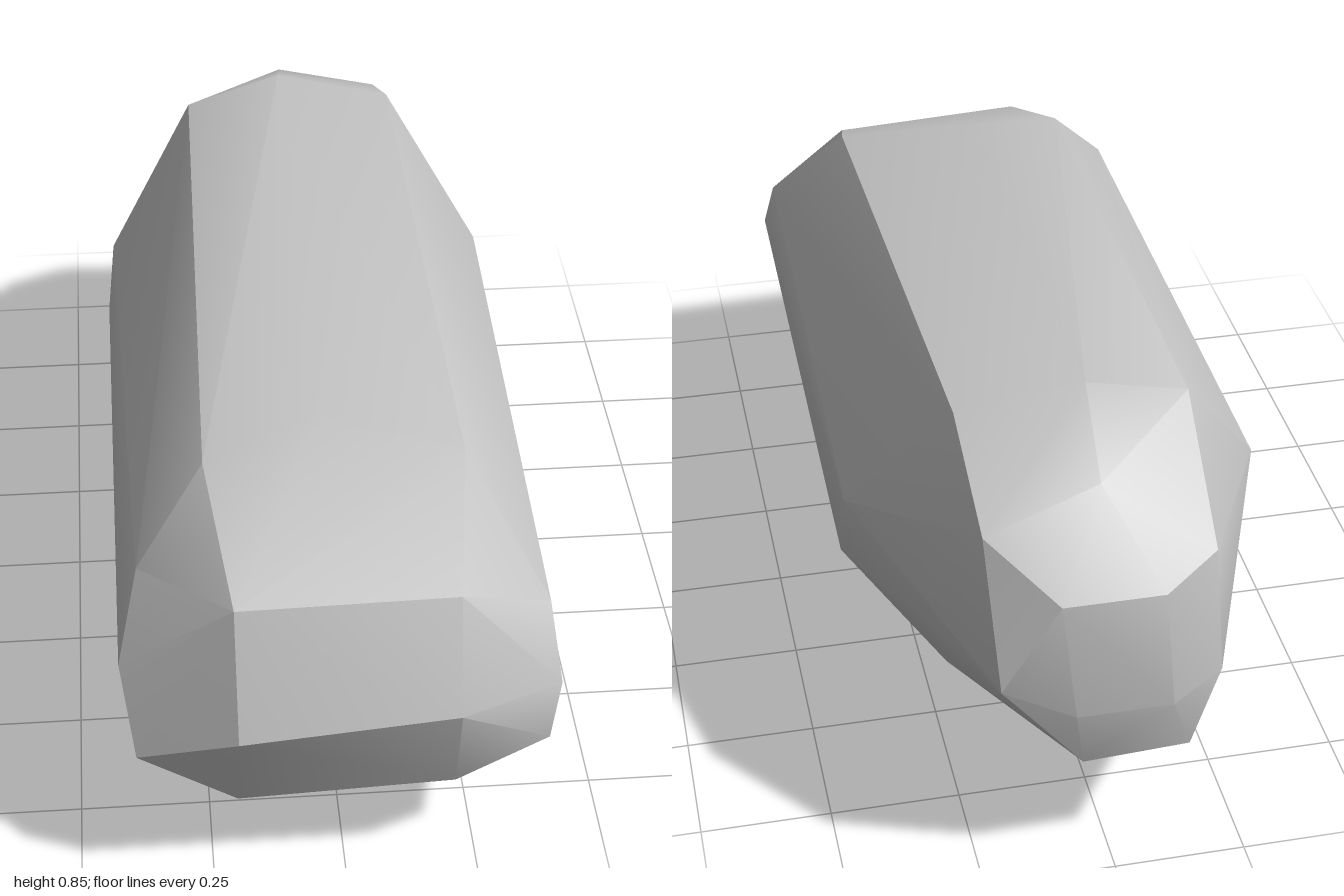
import * as THREE from 'three';
import { toCreasedNormals } from 'three/addons/utils/BufferGeometryUtils.js';
import { ConvexGeometry } from 'three/addons/geometries/ConvexGeometry.js';

const stone = new THREE.MeshStandardMaterial({ color: 0xc3c3c3 });
stone.name = 'stone grey';

// corners of the boulder, grouped by region
const frontEnd = [
  [-0.2, 0.62, 0.9], [0.21, 0.61, 0.88], [-0.2, 0.39, 1], [0.205, 0.41, 0.98],
  [-0.2, 0.157, 0.9], [0.205, 0.205, 0.93], [-0.385, 0.297, 0.92], [0.38, 0.288, 0.915],
];
const top = [
  [-0.015, 0.845, -0.63], [-0.03, 0.77, 0.54], [0.225, 0.797, -0.61],
  [-0.215, 0.79, -0.61], [0.245, 0.735, 0.61], [-0.24, 0.73, 0.61],
];
const leftSide = [
  [0.387, 0.52, 0.8], [0.403, 0.39, 0.88], [0.41, 0.515, -0.45], [0.4, 0.27, -0.28],
];
const rightSide = [
  [-0.41, 0.445, 0.83], [-0.37, 0.58, 0.72], [-0.395, 0.525, -0.46],
  [-0.41, 0.44, -0.34], [-0.41, 0.335, -0.3], [-0.365, 0.195, 0.61],
];
const underside = [
  [0, 0, 0.31], [0.27, 0.05, 0.31], [0.335, 0.16, 0.65], [0.21, 0.052, -0.41],
  [0.04, 0.05, -0.63], [-0.165, 0.05, -0.635], [-0.22, 0.03, 0.2], [-0.28, 0.07, 0.1],
];
const backEnd = [
  [0, 0.755, -0.82], [0.22, 0.69, -0.85], [0.21, 0.43, -0.965], [-0.2, 0.63, -0.89],
  [-0.2, 0.41, -0.955], [-0.09, 0.6, -0.96], [0.1, 0.6, -0.96], [-0.1, 0.38, -1],
  [0.08, 0.38, -1], [-0.14, 0.26, -0.975], [0.06, 0.25, -0.975],
];

export function createModel() {
  const group = new THREE.Group();
  group.name = 'rock';

  // one convex stone, soft across shallow facets and sharp at strong edges
  const corners = [frontEnd, top, leftSide, rightSide, underside, backEnd].flat();
  const hull = new ConvexGeometry(corners.map((p) => new THREE.Vector3(...p)));
  const boulder = new THREE.Mesh(toCreasedNormals(hull, THREE.MathUtils.degToRad(30)), stone);
  boulder.name = 'boulder';
  group.add(boulder);
  return group;
}
